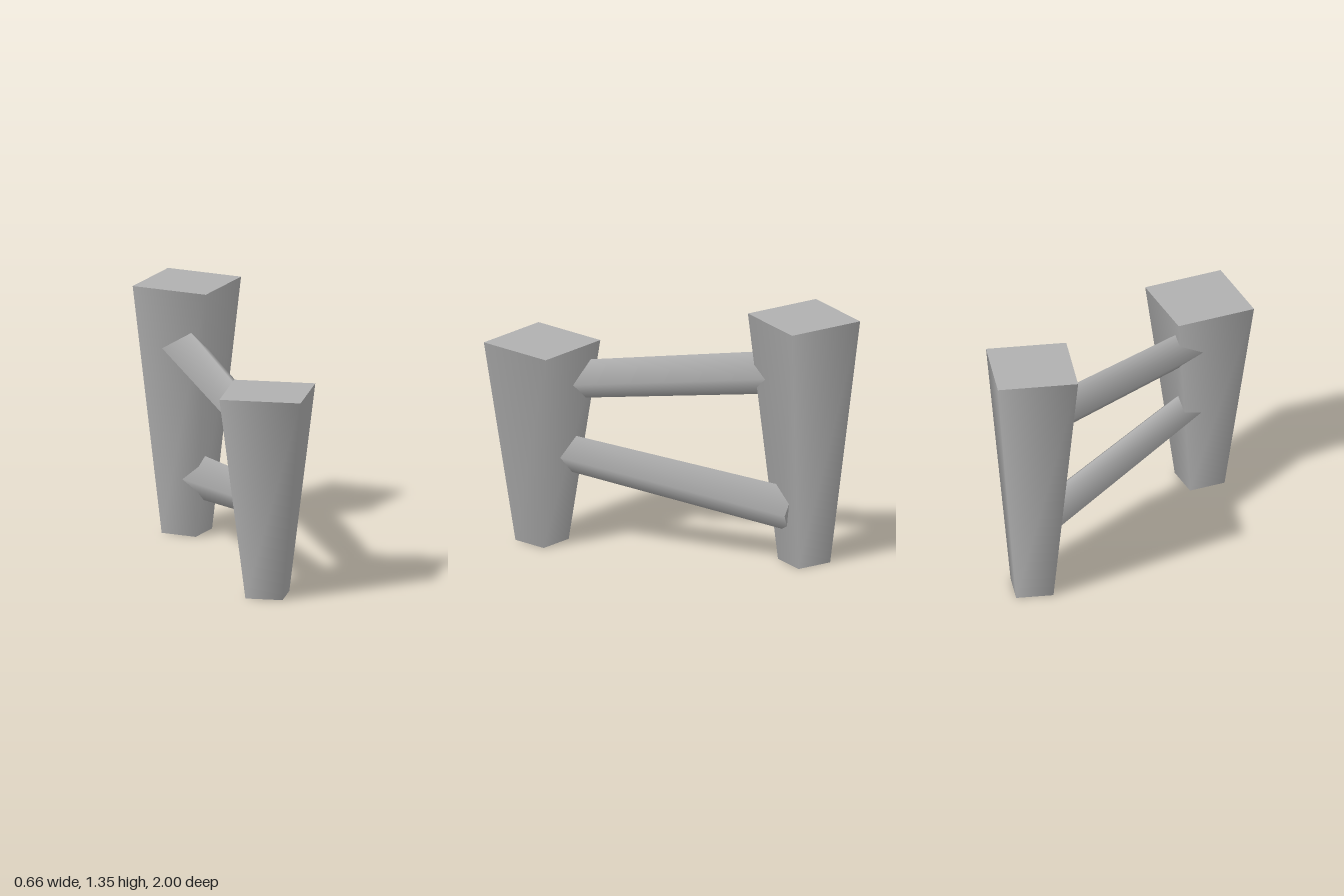
import * as THREE from 'three';

export function createModel() {
  const group = new THREE.Group();
  const stone = new THREE.MeshStandardMaterial({ color: 0xb0b0b0 });
  stone.name = 'plain grey';

  // Four-sided post, wide at the top, with smooth normals round the sides
  function post(name, x, z, height, topRadius, turn) {
    const mesh = new THREE.Mesh(new THREE.CylinderGeometry(topRadius, 0.14, height, 4), stone);
    mesh.name = name;
    mesh.position.set(x, height / 2, z);
    mesh.rotation.y = turn;
    group.add(mesh);
  }

  // Four-sided rail set on edge, running from the front post to the back post
  function rail(name, from, to, frontRadius, backRadius) {
    const a = new THREE.Vector3(...from);
    const b = new THREE.Vector3(...to);
    const geometry = new THREE.CylinderGeometry(backRadius, frontRadius, a.distanceTo(b), 4);
    geometry.rotateX(Math.PI / 2);
    const mesh = new THREE.Mesh(geometry, stone);
    mesh.name = name;
    mesh.position.copy(a).add(b).multiplyScalar(0.5);
    mesh.lookAt(b);
    group.add(mesh);
  }

  post('frontPost', 0.043, 0.713, 1.1, 0.306, 0.357);
  post('backPost', -0.035, -0.7, 1.35, 0.301, 0.087);
  rail('upperRail', [0.003, 0.88, 0.65], [-0.08, 1.03, -0.65], 0.103, 0.12);
  rail('lowerRail', [0.03, 0.505, 0.65], [0.03, 0.3, -0.65], 0.1, 0.12);

  return group;
}
